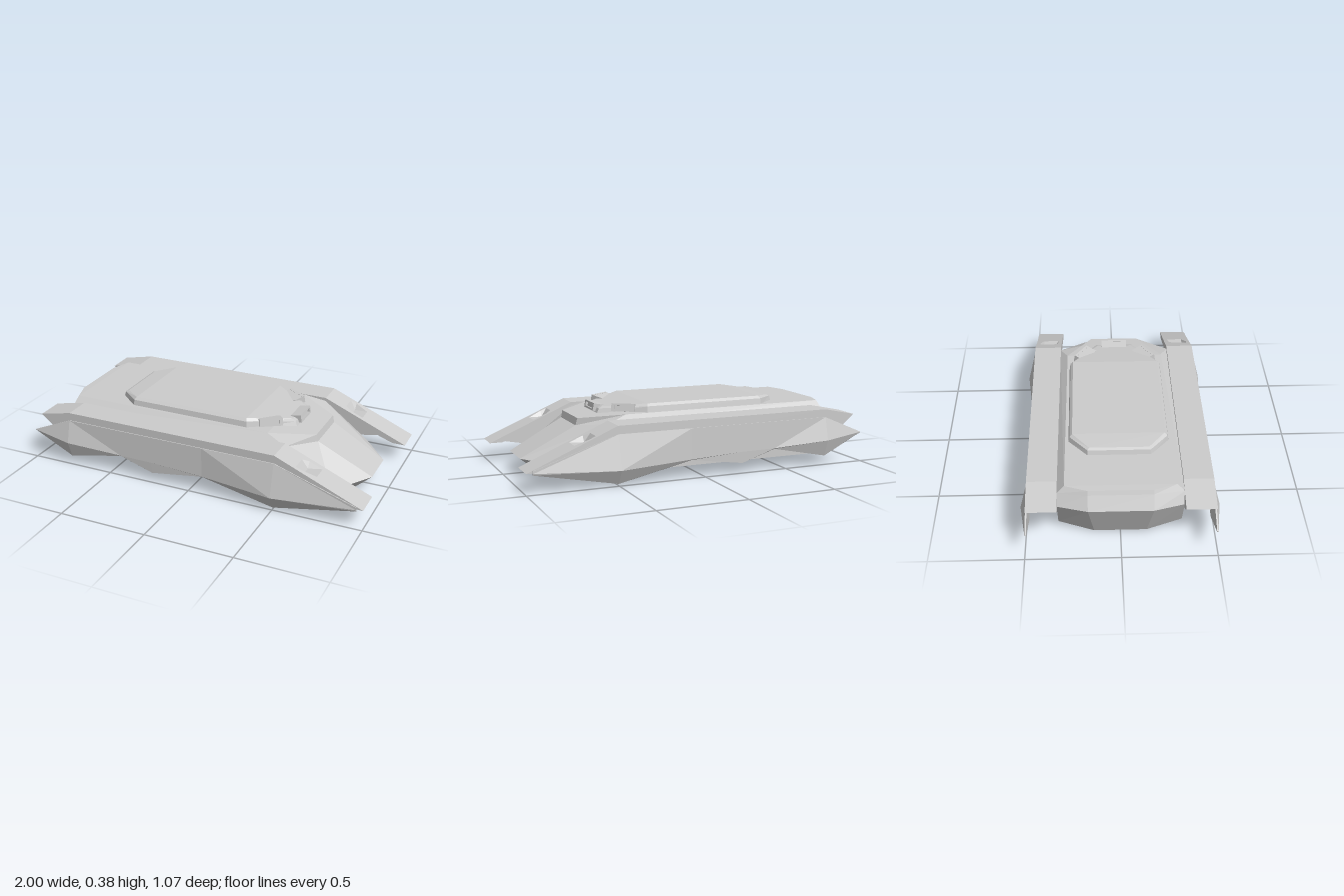
import * as THREE from 'three';

const material = new THREE.MeshStandardMaterial({ color: 0xcccccc, flatShading: true, side: THREE.DoubleSide });

function mesh(name, geometry) {
  const m = new THREE.Mesh(geometry, material);
  m.name = name;
  return m;
}

// Skins a stack of equal-length rings and closes both ends with strips
function loft(rings) {
  const pos = [];
  const tri = (a, b, c) => pos.push(...a, ...b, ...c);
  const n = rings[0].length;
  for (let r = 0; r < rings.length - 1; r++) {
    const a = rings[r], b = rings[r + 1];
    for (let i = 0; i < n; i++) {
      const j = (i + 1) % n;
      tri(a[j], a[i], b[i]);
      tri(a[j], b[i], b[j]);
    }
  }
  const first = rings[0], last = rings[rings.length - 1];
  for (let i = 0; i < Math.floor((n - 1) / 2); i++) {
    const [p, q, s, t] = [i, i + 1, n - 2 - i, n - 1 - i];
    tri(first[p], first[q], first[s]);
    tri(first[p], first[s], first[t]);
    tri(last[p], last[s], last[q]);
    tri(last[p], last[t], last[s]);
  }
  const g = new THREE.BufferGeometry();
  g.setAttribute('position', new THREE.Float32BufferAttribute(pos, 3));
  g.computeVertexNormals();
  return g;
}

// Completes a half outline, front to rear, with its mirror image
const mirrored = (half) => [...half, ...half.map(([x, y, z]) => [x, y, -z]).reverse()];

// Sponson side profile at one z; floorY sinks the lamp recess below the sloping front
const sponsonRing = ([z, floorY]) => [
  [-0.95, 0.28], [-0.76, 0.32], [0.5, 0.32], [0.615, 0.271], [0.65, floorY], [0.725, 0.2246],
  [0.995, 0.11], [0.92, 0.11], [0.7, 0.19], [0.5, 0.2], [-0.8, 0.2], [-0.88, 0.22],
].map(([x, y]) => [x, y, z]);

// Sponson and the faceted skirt outside it
function buildSide(name) {
  const side = new THREE.Group();
  side.name = name;
  side.add(mesh('sponson', loft([
    [0.328, 0.256], [0.352, 0.256], [0.375, 0.224], [0.443, 0.224], [0.465, 0.256], [0.487, 0.256],
  ].map(sponsonRing))));
  // Stations: x, top y, ridge y, bottom y, ridge z
  const stations = [
    [-1, 0.172, 0.17, 0.168, 0.492],
    [-0.76, 0.275, 0.145, 0.05, 0.525],
    [-0.43, 0.275, 0.122, 0.118, 0.494],
    [-0.23, 0.275, 0.12, 0.055, 0.494],
    [0.08, 0.275, 0.104, 0.1, 0.494],
    [0.5, 0.275, 0.09, 0.01, 0.537],
    [0.96, 0.122, 0.108, 0.1, 0.492],
  ];
  side.add(mesh('sideSkirt', loft(stations.map(([x, top, ridge, bottom, z]) => [
    [x, top, 0.492], [x, top, 0.484], [x, bottom, 0.484], [x, bottom, 0.49], [x, ridge, z],
  ]))));
  return side;
}

const rect = (w, h) => [[-w, -h], [w, -h], [w, h], [-w, h]].map(([x, y]) => new THREE.Vector2(x, y));

// Vision block: leaning body with a framed, recessed window facing local +x
function buildPeriscope(name, x, y, z, angle, length) {
  const g = new THREE.Group();
  g.name = name;
  g.add(mesh('periscopeBody', new THREE.BoxGeometry(0.06, 0.04, length).translate(-0.012, 0, 0)));
  const shape = new THREE.Shape(rect(length / 2, 0.021));
  shape.holes.push(new THREE.Path(rect(length / 2 - 0.016, 0.011)));
  const frame = new THREE.ExtrudeGeometry(shape, { depth: 0.014, bevelEnabled: false });
  g.add(mesh('periscopeFrame', frame.translate(0, 0, 0.017).rotateY(Math.PI / 2)));
  g.position.set(x, y, z);
  g.rotation.set(0, angle, 0.2);
  return g;
}

export function createModel() {
  const model = new THREE.Group();
  model.name = 'armouredHull';

  // Hull: flat keel strip, sloping belly sides, then octagonal outlines up to the deck
  model.add(mesh('hull', loft([
    [[0.8, 0, 0.14], [0.8, 0, 0.14], [-0.8, 0.005, 0.14], [-0.8, 0.005, 0.14]],
    [[0.8, 0, 0.14], [0.69, 0.03, 0.33], [-0.75, 0.03, 0.33], [-0.8, 0.005, 0.14]],
    [[0.93, 0.105, 0.11], [0.77, 0.095, 0.33], [-0.86, 0.235, 0.33], [-0.91, 0.24, 0.17]],
    [[0.62, 0.27, 0.135], [0.5, 0.3, 0.33], [-0.83, 0.3, 0.33], [-0.87, 0.315, 0.17]],
    [[0.61, 0.31, 0.14], [0.38, 0.338, 0.285], [-0.82, 0.34, 0.29], [-0.86, 0.338, 0.17]],
  ].map(mirrored))));

  // Raised roof plate with bevelled rim
  model.add(mesh('roofPlate', loft([
    [[0.49, 0.318, 0.115], [0.25, 0.33, 0.272], [-0.46, 0.33, 0.272], [-0.58, 0.33, 0.17]],
    [[0.475, 0.35, 0.11], [0.245, 0.37, 0.265], [-0.458, 0.37, 0.265], [-0.57, 0.365, 0.168]],
    [[0.455, 0.359, 0.1], [0.24, 0.384, 0.25], [-0.45, 0.384, 0.25], [-0.555, 0.372, 0.16]],
  ].map(mirrored))));

  // Vision blocks around the front of the roof plate
  model.add(buildPeriscope('frontPeriscope', 0.465, 0.348, 0, 0, 0.15));
  for (const s of [1, -1]) {
    model.add(buildPeriscope(s > 0 ? 'leftPeriscope' : 'rightPeriscope', 0.353, 0.358, s * 0.182, -s, 0.13));
  }

  // Mirrored sides
  model.add(buildSide('nearSide'));
  const far = buildSide('farSide');
  far.scale.z = -1;
  model.add(far);
  return model;
}
